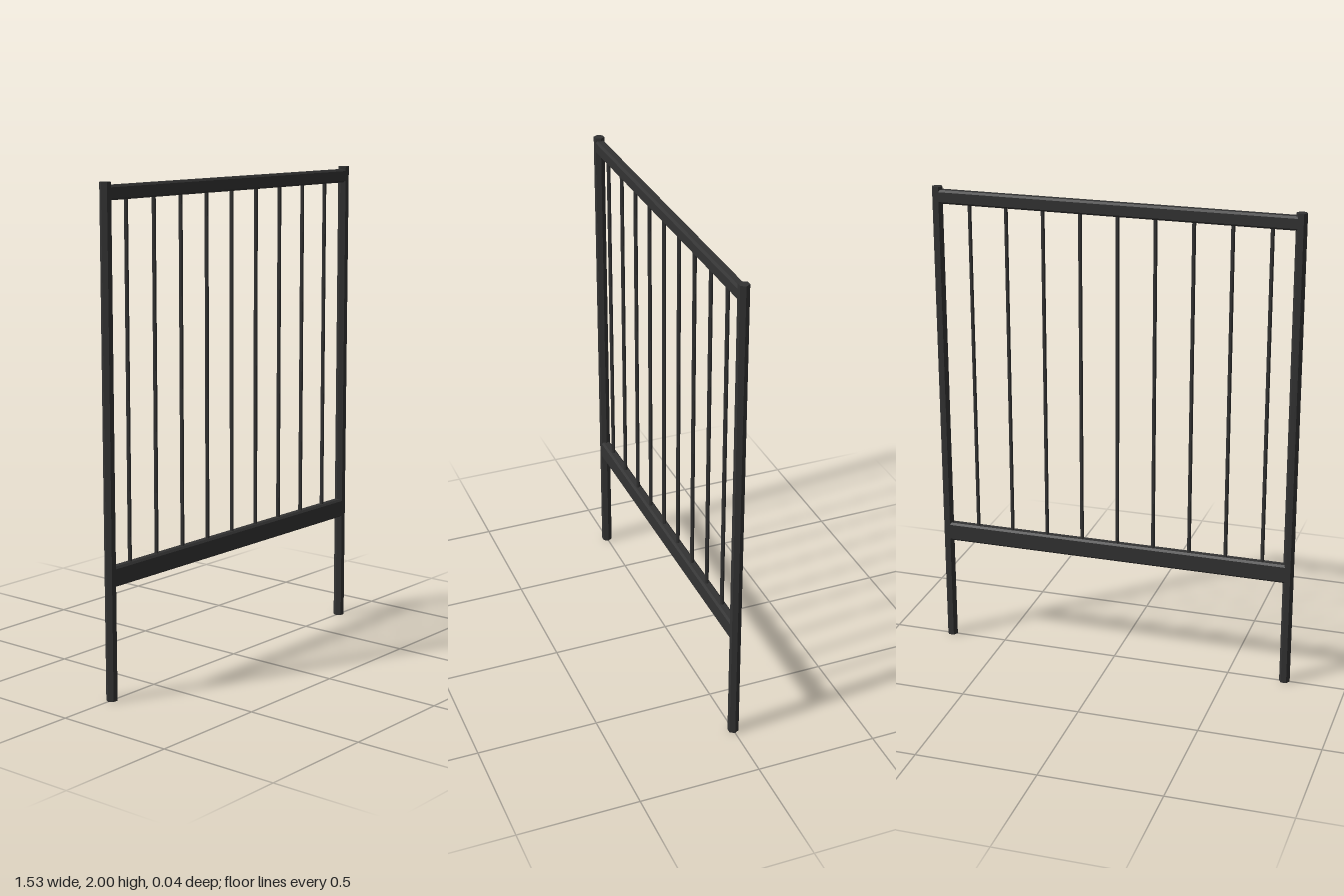
import * as THREE from 'three';

export function createModel() {
  const group = new THREE.Group();
  group.name = 'railingPanel';
  const darkIron = new THREE.MeshStandardMaterial({ color: 0x333333 });
  darkIron.name = 'darkIron';

  const add = (name, geometry, x, y) => {
    const mesh = new THREE.Mesh(geometry, darkIron);
    mesh.name = name;
    mesh.position.set(x, y, 0);
    group.add(mesh);
  };

  // Hexagonal upright with its corners pointing along x
  const upright = (radius, height) => {
    const g = new THREE.CylinderGeometry(radius, radius, height, 6).toNonIndexed();
    g.rotateY(Math.PI / 2);
    g.computeVertexNormals();
    return g;
  };

  // Rail running along x, with bevelled long edges
  const rail = (length, height, depth, bevel) => {
    const h = height / 2, d = depth / 2;
    const shape = new THREE.Shape([
      [d, -h + bevel], [d, h - bevel], [d - bevel, h], [bevel - d, h],
      [-d, h - bevel], [-d, bevel - h], [bevel - d, -h], [d - bevel, -h],
    ].map(([a, b]) => new THREE.Vector2(a, b)));
    const g = new THREE.ExtrudeGeometry(shape, { depth: length, bevelEnabled: false });
    g.translate(0, 0, -length / 2);
    g.rotateY(Math.PI / 2);
    return g;
  };

  // Corner posts
  add('leftPost', upright(0.0225, 2), 0.743, 1);
  add('rightPost', upright(0.0225, 2), -0.743, 1);

  // Horizontal rails
  add('topRail', rail(1.486, 0.056, 0.039, 0.008), 0, 1.96);
  add('bottomRail', rail(1.486, 0.08, 0.039, 0.008), 0, 0.495);

  // Thin balusters between the rails
  const bar = upright(0.008, 1.44);
  for (let i = 0; i < 9; i++) add('baluster' + (i + 1), bar, -0.632 + i * 0.1548, 1.23);

  return group;
}
